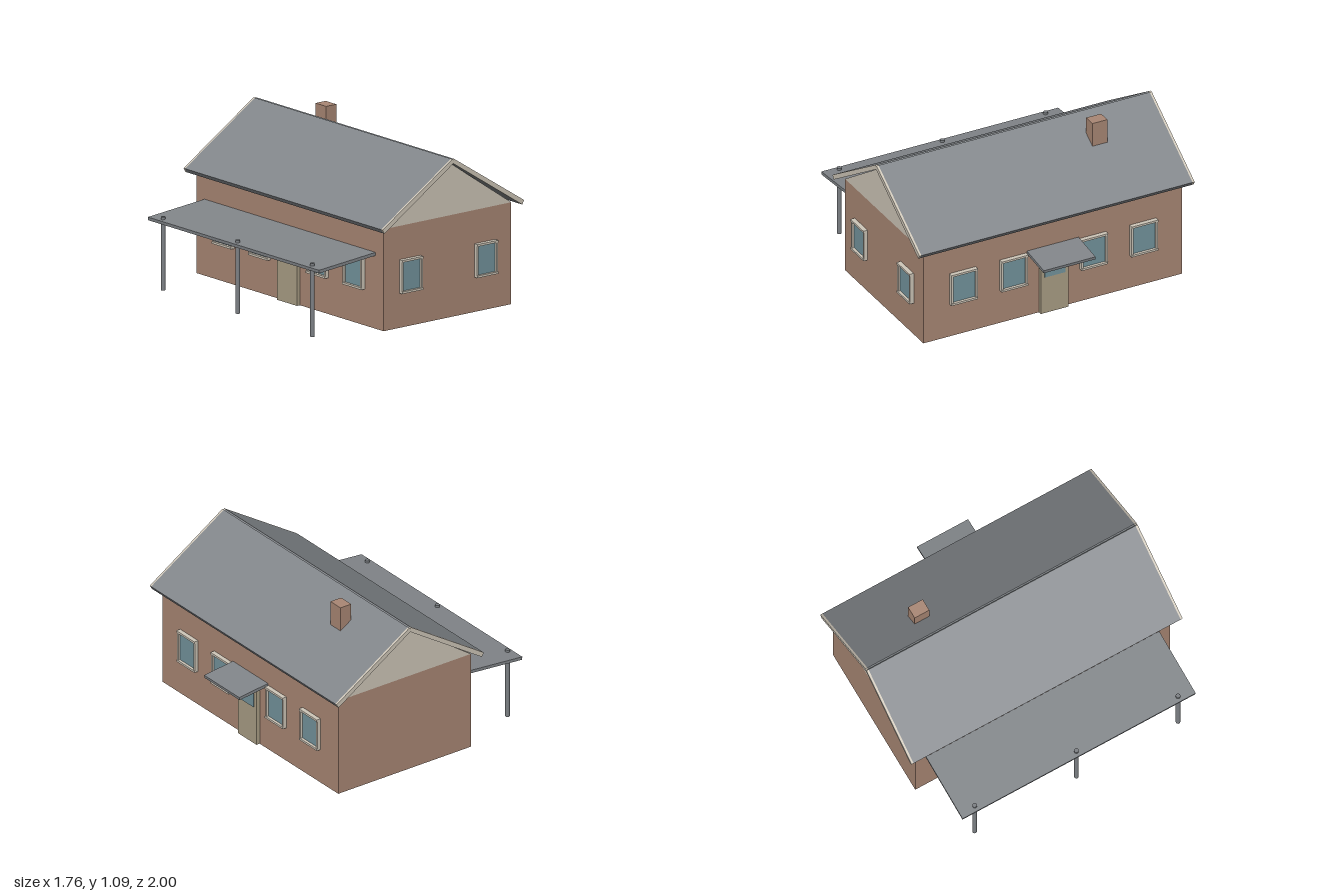
import * as THREE from 'three';

const mat = (color) => new THREE.MeshStandardMaterial({ color, flatShading: true });
const BRICK = mat(0xaa8875), CREAM = mat(0xcfc7b9), ROOF = mat(0x82868a),
  GLASS = mat(0x74959e), DOOR = mat(0xab9f86), POST = mat(0x7c8084);

const CX = 0.118;     // ridge line
const HALF_W = 0.53;  // half width of the walls
const HALF_L = 0.94;  // half length of the walls
const EAVE = 0.675;

function add(parent, name, geometry, material, x = 0, y = 0, z = 0) {
  const mesh = new THREE.Mesh(geometry, material);
  mesh.name = name;
  mesh.position.set(x, y, z);
  parent.add(mesh);
  return mesh;
}

const box = (parent, name, material, w, h, d, x, y, z) =>
  add(parent, name, new THREE.BoxGeometry(w, h, d), material, x, y, z);

// Extrude an x-y outline from z0 to z1
function prism(parent, name, material, points, z0, z1) {
  const shape = new THREE.Shape(points.map(([x, y]) => new THREE.Vector2(x, y)));
  const geometry = new THREE.ExtrudeGeometry(shape, { depth: z1 - z0, bevelEnabled: false });
  return add(parent, name, geometry, material, 0, 0, z0);
}

// Window facing +z, with its back on the wall plane
function makeWindow(w, h) {
  const g = new THREE.Group();
  g.name = 'window';
  const t = 0.014;
  for (const s of [-1, 1]) {
    box(g, 'windowRail', CREAM, w, t, 0.031, 0, s * (h - t) / 2, 0.0155);
    box(g, 'windowStile', CREAM, t, h - 2 * t, 0.026, s * (w - t) / 2, 0, 0.013);
  }
  box(g, 'windowPane', GLASS, w - 2 * t, h - 2 * t, 0.012, 0, 0, 0.006);
  return g;
}

// Door facing +z, standing on the ground
function makeDoor() {
  const g = new THREE.Group();
  g.name = 'door';
  box(g, 'doorLeaf', DOOR, 0.2, 0.4, 0.026, 0, 0.2, 0.013);
  box(g, 'doorPane', GLASS, 0.15, 0.1, 0.012, 0, 0.315, 0.026);
  return g;
}

export function createModel() {
  const house = new THREE.Group();
  house.name = 'house';

  // Walls and gables
  box(house, 'walls', BRICK, HALF_W * 2, EAVE, HALF_L * 2, CX, EAVE / 2, 0);
  prism(house, 'gable', CREAM,
    [[CX - HALF_W, EAVE], [CX + HALF_W, EAVE], [CX, 1.035]], -HALF_L, HALF_L);

  // Pitched roof with barge boards closing both ends
  const side = [[0.007, 1.063], [0.588, 0.692], [0.572, 0.665], [0, 1.033]];
  const right = side.map(([x, y]) => [CX + x, y]);
  const left = side.slice(0, 3).reverse().map(([x, y]) => [CX - x, y]);
  const chevron = [[CX, 1.055], ...right, ...left];
  prism(house, 'roof', ROOF, chevron, -0.985, 0.985);
  prism(house, 'frontBargeBoard', CREAM, chevron, 0.985, 1);
  prism(house, 'backBargeBoard', CREAM, chevron, -1, -0.985);

  // Chimney
  box(house, 'chimney', BRICK, 0.085, 0.29, 0.108, 0.303, 0.945, -0.505);

  // Windows and a door on both long walls
  for (const s of [-1, 1]) {
    const wall = new THREE.Group();
    wall.name = s > 0 ? 'leftWallOpenings' : 'rightWallOpenings';
    for (const x of [-0.655, -0.29, 0.29, 0.655]) {
      const win = makeWindow(0.192, 0.225);
      win.position.set(x, 0.352, 0);
      wall.add(win);
    }
    wall.add(makeDoor());
    wall.position.x = CX + s * HALF_W;
    wall.rotation.y = s * Math.PI / 2;
    house.add(wall);
  }

  // Front windows
  for (const s of [-1, 1]) {
    const win = makeWindow(0.175, 0.222);
    win.position.set(CX + s * 0.312, 0.341, HALF_L);
    house.add(win);
  }

  // Long porch roof and its posts
  prism(house, 'porchRoof', ROOF,
    [[-0.88, 0.446], [-0.40, 0.486], [-0.40, 0.507], [-0.882, 0.467]], -0.86, 0.86);
  for (const z of [-0.75, 0, 0.75]) {
    add(house, 'porchPost', new THREE.CylinderGeometry(0.015, 0.015, 0.486, 16), POST, -0.846, 0.243, z);
  }

  // Small canopy over the other door
  prism(house, 'doorCanopy', ROOF,
    [[0.64, 0.457], [0.874, 0.428], [0.877, 0.448], [0.64, 0.478]], -0.188, 0.188);

  return house;
}
